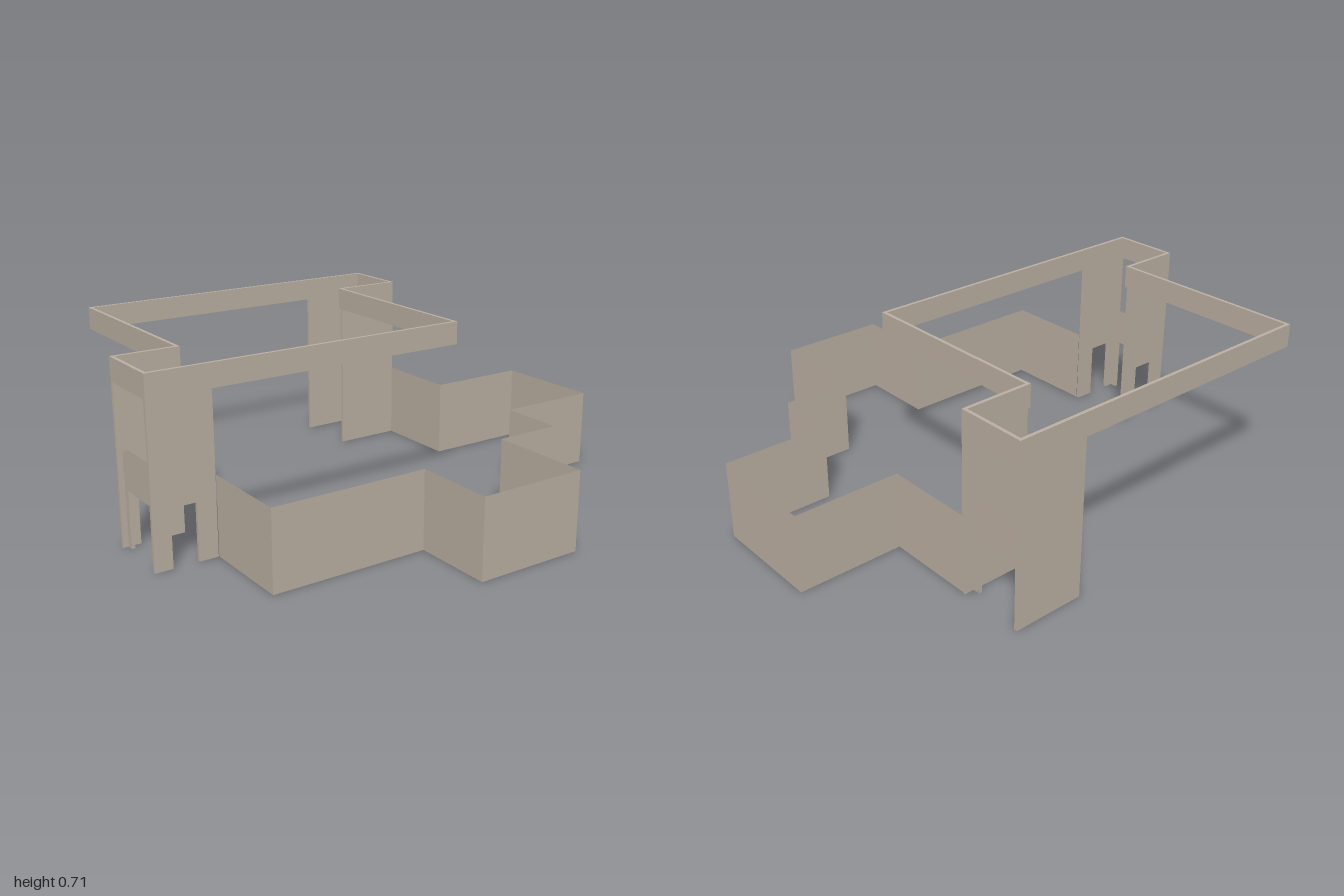
import * as THREE from 'three';

const T = 0.013;        // wall thickness
const BAND_Y = 0.618;   // underside of the upper band
const TOP_Y = 0.708;
const DOOR_Y = 0.223;
const LOW_Y = 0.308;

const shapeOf = (pts) => new THREE.Shape(pts.map(([a, b]) => new THREE.Vector2(a, b)));

// Rectangle standing on the ground, with an optional doorway cut from its base
function wallShape(a, b, top, door) {
  const pts = [[a, 0]];
  if (door) pts.push([door[0], 0], [door[0], DOOR_Y], [door[1], DOOR_Y], [door[1], 0]);
  pts.push([b, 0], [b, top], [a, top]);
  return shapeOf(pts);
}

export function createModel() {
  const group = new THREE.Group();
  const plaster = new THREE.MeshStandardMaterial({ color: 0xbcb0a2, side: THREE.DoubleSide });
  plaster.name = 'warm beige plaster';

  const add = (name, geometry, parent = group) => {
    const mesh = new THREE.Mesh(geometry, plaster);
    mesh.name = name;
    parent.add(mesh);
    return mesh;
  };

  // Upper band: closed ring following the floor plan (x, z)
  const outer = [[-0.875, -0.582], [-0.602, -0.582], [-0.602, -0.31], [0.185, -0.31],
    [0.185, 1], [-0.09, 1], [-0.09, 0.753], [-0.875, 0.753]];
  const inner = [[-0.875 + T, -0.582 + T], [-0.602 - T, -0.582 + T], [-0.602 - T, -0.31 + T],
    [0.185 - T, -0.31 + T], [0.185 - T, 1 - T], [-0.09 + T, 1 - T],
    [-0.09 + T, 0.753 - T], [-0.875 + T, 0.753 - T]];
  const flip = (pts) => pts.map(([x, z]) => [x, -z]);
  const ring = shapeOf(flip(outer));
  ring.holes.push(shapeOf(flip(inner)));
  const band = new THREE.ExtrudeGeometry(ring, { depth: TOP_Y - BAND_Y, bevelEnabled: false });
  band.rotateX(-Math.PI / 2).translate(0, BAND_Y, 0);
  add('upperBand', band);

  // Tall side walls of the two porches; xMax is the face towards +x
  function sideWall(name, xMax, z0, z1, door) {
    const geo = new THREE.ExtrudeGeometry(wallShape(z0, z1, BAND_Y, door),
      { depth: T, bevelEnabled: false });
    geo.rotateY(-Math.PI / 2).translate(xMax, 0, 0);
    add(name, geo);
  }
  sideWall('frontPorchLeftWall', 0.185, 0.755, 1, [0.83, 0.93]);
  sideWall('frontPorchRightWall', -0.09 + T, 0.755, 1, [0.83, 0.93]);
  sideWall('backPorchLeftWall', -0.602, -0.582, -0.308);
  sideWall('backPorchRightWall', -0.875 + T, -0.582, -0.296);

  // Door screens: two thin skins joined by the door reveal
  function doorScreen(name, x0, x1, d0, d1, z0, z1) {
    const screen = new THREE.Group();
    screen.name = name;
    group.add(screen);
    const depth = z1 - z0, zMid = (z0 + z1) / 2;
    for (const z of [z0, z1]) {
      const skin = new THREE.ShapeGeometry(wallShape(x0, x1, 0.37, [d0, d1]));
      if (z === z0) skin.rotateY(Math.PI).translate(x0 + x1, 0, 0);
      add('screenSkin', skin.translate(0, 0, z), screen);
    }
    add('doorHead', new THREE.PlaneGeometry(d1 - d0, depth).rotateX(Math.PI / 2), screen)
      .position.set((d0 + d1) / 2, DOOR_Y, zMid);
    for (const [x, turn] of [[d0, 1], [d1, -1]]) {
      add('doorJamb', new THREE.PlaneGeometry(depth, DOOR_Y).rotateY(turn * Math.PI / 2), screen)
        .position.set(x, DOOR_Y / 2, zMid);
    }
  }
  doorScreen('frontDoorScreen', -0.077, 0.172, -0.05, 0.145, 0.966, 0.979);
  doorScreen('backDoorScreen', -0.862, -0.615, -0.837, -0.642, -0.544, -0.531);

  // Low zigzag wall from the front porch round to the back porch (x, z)
  const path = [[0.185, 0.753], [0.555, 0.753], [0.555, 0.13], [0.875, 0.13], [0.875, -0.307],
    [0.465, -0.307], [0.465, -0.58], [0.208, -0.58], [0.208, -1], [-0.243, -1],
    [-0.243, -0.58], [-0.602, -0.58]];
  for (let i = 0; i < path.length - 1; i++) {
    const [x0, z0] = path[i], [x1, z1] = path[i + 1];
    const plane = new THREE.PlaneGeometry(Math.hypot(x1 - x0, z1 - z0), LOW_Y);
    plane.rotateY(Math.atan2(z0 - z1, x1 - x0));
    add('lowWall', plane).position.set((x0 + x1) / 2, LOW_Y / 2, (z0 + z1) / 2);
  }
  return group;
}
